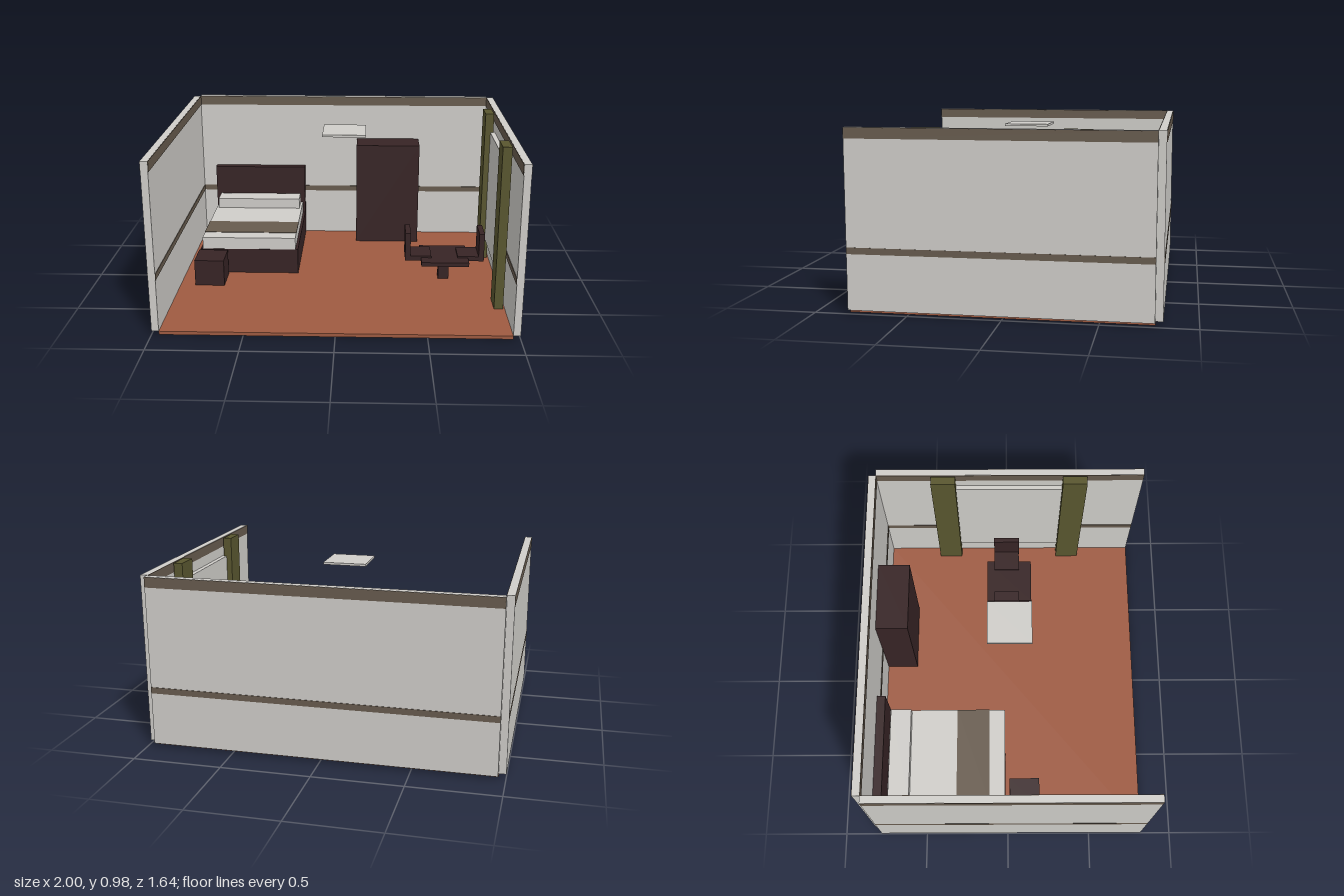
import * as THREE from 'three';

const mat = (name, color) => {
  const m = new THREE.MeshStandardMaterial({ color });
  m.name = name;
  return m;
};

export function createModel() {
  const white = mat('off white', 0xcfcdc9);
  const trim = mat('taupe trim', 0x675b4e);
  const wood = mat('dark wood', 0x372425);
  const terracotta = mat('terracotta', 0x9e5a41);
  const olive = mat('olive fabric', 0x59562f);

  const room = new THREE.Group();
  room.name = 'bedroom';

  const group = (name) => {
    const g = new THREE.Group();
    g.name = name;
    room.add(g);
    return g;
  };
  // Box given by its extents along each axis
  const box = (parent, name, material, [x0, x1], [y0, y1], [z0, z1]) => {
    const mesh = new THREE.Mesh(new THREE.BoxGeometry(x1 - x0, y1 - y0, z1 - z0), material);
    mesh.position.set((x0 + x1) / 2, (y0 + y1) / 2, (z0 + z1) / 2);
    mesh.name = name;
    parent.add(mesh);
  };

  box(room, 'floor', terracotta, [-0.96, 0.96], [0, 0.02], [-0.78, 0.82]);

  // Walls, each wrapped by a middle rail and a top rail
  const walls = group('walls');
  const rails = [['middleRail', [0.32, 0.355]], ['topRail', [0.922, 0.979]]];
  const e = 0.003;
  for (const [name, x0, x1] of [['rightWall', -1, -0.96], ['leftWall', 0.96, 1]]) {
    box(walls, name, white, [x0, x1], [0.02, 0.98], [-0.78, 0.82]);
    for (const [rail, y] of rails) box(walls, rail, trim, [x0 - e + 0.002 * (x0 < 0), x1 + e - 0.002 * (x0 > 0)], y, [-0.779, 0.819]);
  }
  box(walls, 'backWall', white, [-0.96, 0.96], [0.02, 0.98], [-0.82, -0.78]);
  for (const [rail, y] of rails) box(walls, rail, trim, [-0.959, 0.959], y, [-0.82 - e, -0.78 + e]);

  // Bed
  const bed = group('bed');
  box(bed, 'headboard', wood, [-0.867, -0.26], [0.02, 0.5], [-0.78, -0.73]);
  box(bed, 'bedBase', wood, [-0.867, -0.26], [0.02, 0.176], [-0.73, -0.015]);
  box(bed, 'mattress', white, [-0.852, -0.276], [0.176, 0.25], [-0.727, -0.017]);
  box(bed, 'pillow', white, [-0.837, -0.291], [0.25, 0.315], [-0.717, -0.592]);
  box(bed, 'blanket', trim, [-0.853, -0.275], [0.248, 0.253], [-0.31, -0.112]);

  box(room, 'nightstand', wood, [-0.87, -0.693], [0.02, 0.18], [0.012, 0.193]);
  box(room, 'wardrobe', wood, [0.095, 0.51], [0.02, 0.693], [-0.78, -0.59]);

  // Pedestal table
  const table = group('table');
  box(table, 'tableTop', wood, [0.498, 0.784], [0.145, 0.17], [-0.13, 0.16]);
  box(table, 'tableLeg', wood, [0.608, 0.672], [0.02, 0.145], [-0.017, 0.047]);

  // Two facing chairs
  const cx = 0.641;
  for (const [name, s] of [['rightChair', -1], ['leftChair', 1]]) {
    const chair = group(name);
    const span = (a, b) => [cx + s * a, cx + s * b].sort((p, q) => p - q);
    box(chair, 'seat', wood, span(0.08, 0.238), [0.152, 0.18], [-0.082, 0.08]);
    box(chair, 'backrest', wood, span(0.207, 0.239), [0.151, 0.326], [-0.083, 0.081]);
  }

  // Window panel between two curtains
  box(room, 'window', white, [0.932, 0.965], [0.15, 0.86], [-0.32, 0.35]);
  for (const [name, z] of [['backCurtain', [-0.453, -0.307]], ['frontCurtain', [0.335, 0.48]]]) {
    box(room, name, olive, [0.898, 0.95], [0.02, 0.978], z);
  }

  box(room, 'ceilingLamp', white, [-0.097, 0.157], [0.938, 0.951], [-0.114, 0.14]);
  return room;
}
